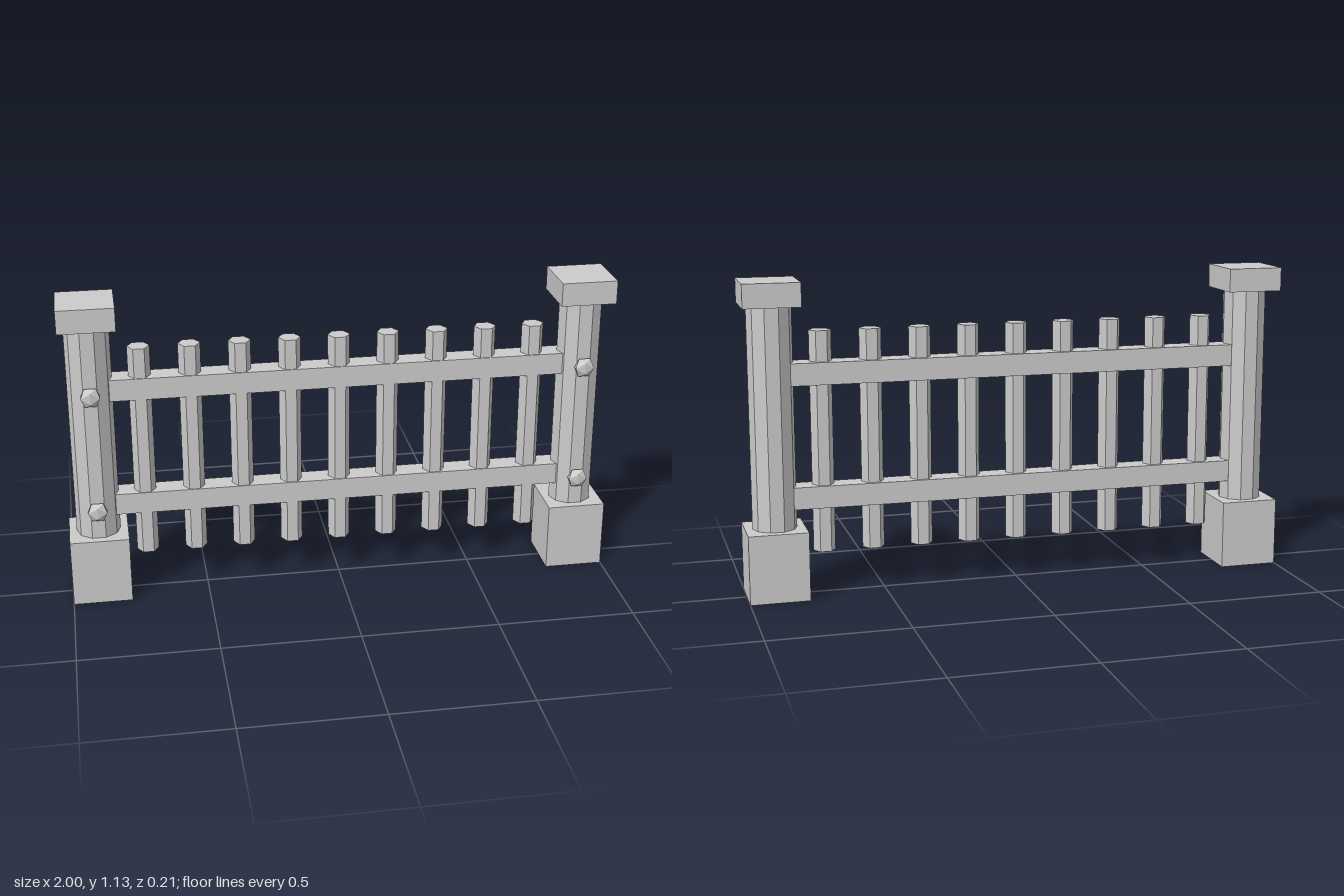
import * as THREE from 'three';

export function createModel() {
  const model = new THREE.Group();
  model.name = 'fence';
  const stone = new THREE.MeshStandardMaterial({ color: 0xcccccc });
  stone.name = 'lightGrey';

  function add(parent, name, geometry, x, y, z = 0) {
    // flat facets throughout
    const geo = geometry.index ? geometry.toNonIndexed() : geometry;
    geo.computeVertexNormals();
    const mesh = new THREE.Mesh(geo, stone);
    mesh.name = name;
    mesh.position.set(x, y, z);
    parent.add(mesh);
    return mesh;
  }

  const postX = 0.893;
  const railHeights = [0.36, 0.805];

  // End posts: block base, ten-sided shaft, cap and flattened bolts
  for (const side of [-1, 1]) {
    const post = new THREE.Group();
    post.name = side > 0 ? 'leftPost' : 'rightPost';
    post.position.x = side * postX;
    model.add(post);
    add(post, 'base', new THREE.BoxGeometry(0.214, 0.25, 0.214), 0, 0.125);
    add(post, 'shaft', new THREE.CylinderGeometry(0.08, 0.08, 0.82, 10).rotateY(Math.PI / 10), 0, 0.65);
    add(post, 'cap', new THREE.BoxGeometry(0.203, 0.086, 0.205), 0, 1.092);
    for (const y of railHeights) {
      add(post, 'bolt', new THREE.IcosahedronGeometry(0.04, 0).scale(1, 1, 0.5), 0, y, 0.09);
    }
  }

  // Horizontal rails running into the posts
  for (const y of railHeights) {
    add(model, 'rail', new THREE.BoxGeometry(1.7, 0.08, 0.085), 0, y, -0.004);
  }

  // Nine hexagonal pickets, corners pointing along the fence
  for (let i = -4; i <= 4; i++) {
    add(model, 'picket', new THREE.CylinderGeometry(0.04, 0.04, 0.8, 6).rotateY(Math.PI / 6), i * 0.179, 0.556);
  }

  return model;
}
